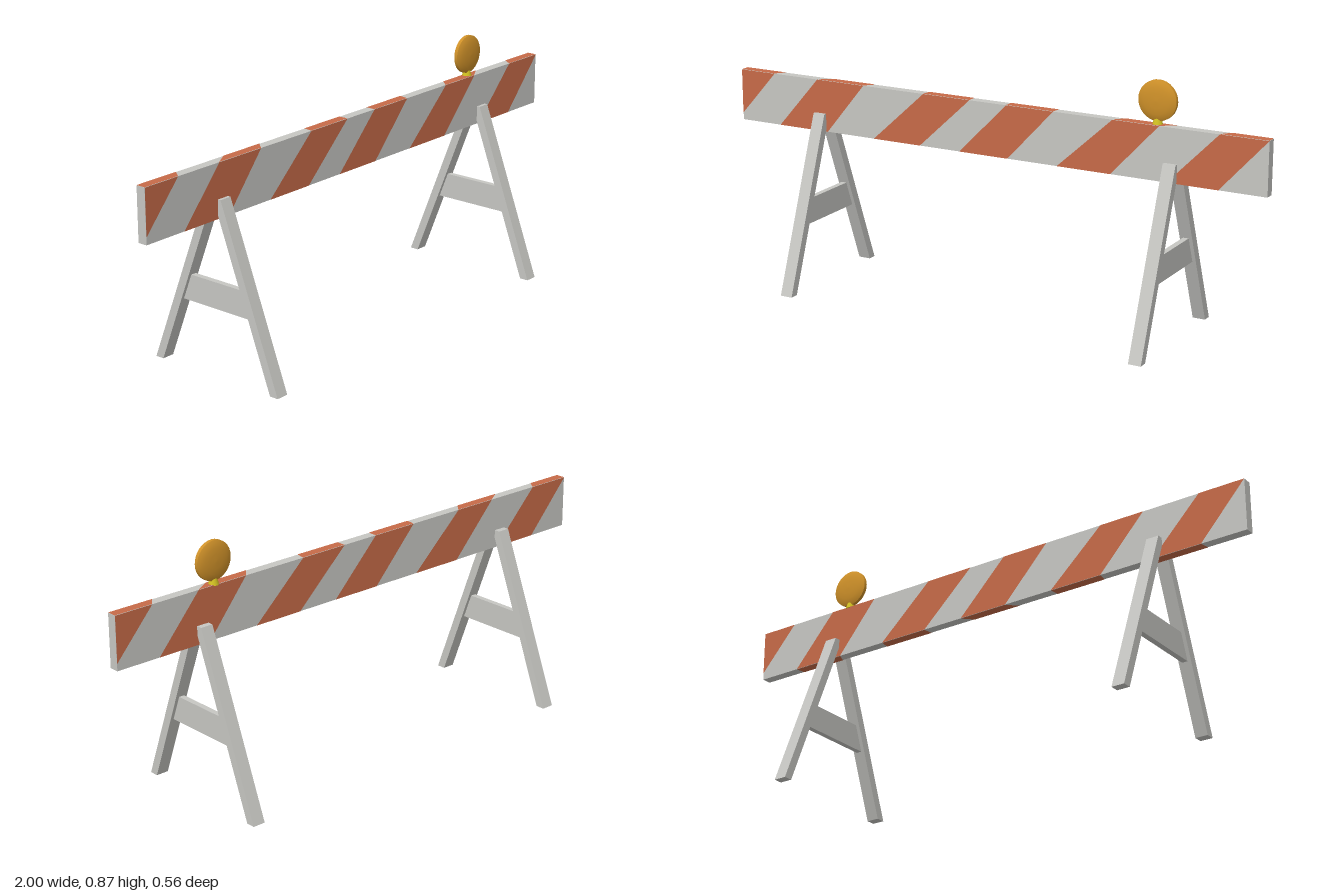
import * as THREE from 'three';

const mat = (name, color, opts = {}) => {
  const m = new THREE.MeshStandardMaterial({ color, ...opts });
  m.name = name;
  return m;
};

export function createModel() {
  const grey = mat('paleGrey', 0xc6c6c2);
  const orange = mat('stripeOrange', 0xc66a48);
  const amber = mat('lampAmber', 0xcf9129);
  const yellow = mat('mountYellow', 0xd0c022);

  const model = new THREE.Group();
  model.name = 'roadBarrier';
  model.rotation.y = 0.0175; // stands slightly askew

  const add = (parent, name, geometry, material) => {
    const mesh = new THREE.Mesh(geometry, material);
    mesh.name = name;
    parent.add(mesh);
    return mesh;
  };
  const polygon = (pts) => new THREE.Shape(pts.map(([x, y]) => new THREE.Vector2(x, y)));

  // Beam
  const Y0 = 0.54, Y1 = 0.722, DEPTH = 0.034, GAP = 0.001;
  const half = DEPTH / 2;
  const beam = new THREE.Group();
  beam.name = 'beam';
  beam.position.z = 0.01;
  model.add(beam);
  add(beam, 'plank', new THREE.BoxGeometry(2, Y1 - Y0, DEPTH).translate(0, (Y0 + Y1) / 2, 0), grey);

  // Slanted stripes: x range along the bottom edge and along the top edge
  const lows = [[-0.84, -0.64], [-0.45, -0.265], [-0.11, 0.075], [0.26, 0.455], [0.655, 0.834]];
  const highs = [[-0.68, -0.49], [-0.25, -0.07], [0.07, 0.245], [0.46, 0.625], [0.834, 1]];
  const faceStripes = lows.map(([a, b], i) => [[a, Y0], [b, Y0], [highs[i][1], Y1], [highs[i][0], Y1]]);
  faceStripes.push([[-1, 0.565], [-0.86, Y1], [-1, Y1]]);
  for (const [side, turn] of [['front', 0], ['back', Math.PI]]) {
    for (const pts of faceStripes) {
      const g = new THREE.ShapeGeometry(polygon(pts)).translate(0, 0, half + GAP).rotateY(turn);
      add(beam, side + 'Stripe', g, orange);
    }
  }

  // Stripes wrapping over the top and bottom edges, joining front to back
  const wrap = (name, ranges, y, turn) => {
    const n = ranges.length;
    ranges.forEach(([a, b], i) => {
      const [c, d] = ranges[n - 1 - i].map((v) => -v);
      const s = -Math.sign(turn);
      const pts = [[a, -half * s], [b, -half * s], [c, half * s], [d, half * s]];
      add(beam, name, new THREE.ShapeGeometry(polygon(pts)).rotateX(turn).translate(0, y, 0), orange);
    });
  };
  wrap('topStripe', [[-1, -0.86], ...highs], Y1 + GAP, -Math.PI / 2);
  wrap('bottomStripe', lows, Y0 - GAP, Math.PI / 2);

  // Extrudes a side outline given as (z, y), centred on x
  const sideExtrude = (pts, width) =>
    new THREE.ExtrudeGeometry(polygon(pts), { depth: width, bevelEnabled: false })
      .translate(0, 0, -width / 2)
      .rotateY(-Math.PI / 2);

  // Two A-frames
  const legs = {
    frontLeg: [[0.234, 0], [0.266, 0], [0.039, 0.604], [0.007, 0.604]],
    backLeg: [[-0.266, 0], [-0.234, 0], [0.004, 0.604], [-0.028, 0.604]],
  };
  const brace = [[-0.146, 0.229], [0.15, 0.229], [0.116, 0.319], [-0.11, 0.319]];
  for (const [side, x] of [['left', 0.668], ['right', -0.668]]) {
    const frame = new THREE.Group();
    frame.name = side + 'Frame';
    frame.position.x = x;
    model.add(frame);
    for (const [name, pts] of Object.entries(legs)) add(frame, name, sideExtrude(pts, 0.045), grey);
    add(frame, 'crossBrace', sideExtrude(brace, 0.02), grey);
  }

  // Warning lamp: mount, rim and two shallow domes
  const lamp = new THREE.Group();
  lamp.name = 'warningLamp';
  lamp.position.set(0.61, 0, 0.006);
  model.add(lamp);
  add(lamp, 'lampMount', new THREE.CylinderGeometry(0.011, 0.018, 0.022, 12).translate(0, 0.731, 0), yellow);

  const R = 0.067, RIM = 0.006;
  const lens = new THREE.Group();
  lens.name = 'lens';
  lens.position.y = 0.8;
  lens.rotation.x = Math.PI / 2;
  lamp.add(lens);
  add(lens, 'lensRim', new THREE.CylinderGeometry(R, R, RIM * 2, 32, 1, true), amber);
  const dome = [[R, RIM], [0.058, 0.011], [0.044, 0.015], [0.024, 0.0178], [0, 0.0185]];
  for (const [name, turn] of [['frontLens', 0], ['backLens', Math.PI]]) {
    const g = new THREE.LatheGeometry(dome.map(([r, h]) => new THREE.Vector2(r, h)), 32);
    add(lens, name, g.rotateX(turn), amber);
  }
  for (const part of lens.children) if (part.name !== 'lensRim') part.material = amber;
  amber.side = THREE.DoubleSide;

  return model;
}
